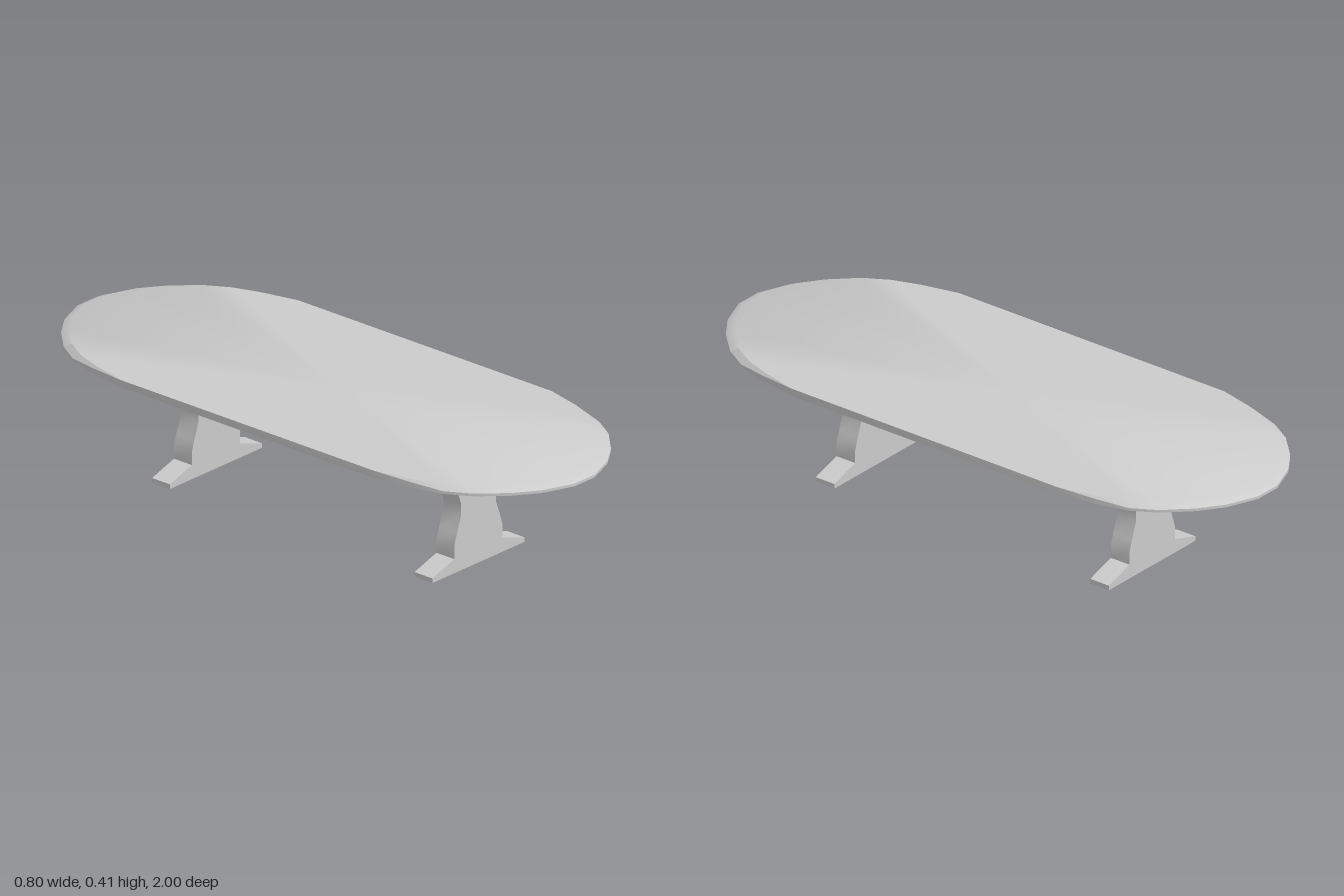
import * as THREE from 'three';
import { toCreasedNormals } from 'three/addons/utils/BufferGeometryUtils.js';

const BASE = 0.388, RIM = 0.397, TOP = 0.412;

// One quarter of the tabletop outline: x, z, softening of the upper edge (0..1)
const QUARTER = [
  [0.4, 0.51, 0], [0.377, 0.64, 0.5], [0.35, 0.745, 1], [0.303, 0.825, 1],
  [0.225, 0.905, 1], [0.148, 0.96, 1], [0.045, 1, 1],
];

// Half of the trestle silhouette, from the floor up
const TRESTLE = [
  [0.207, 0], [0.207, 0.015], [0.108, 0.046], [0.108, 0.09], [0.097, 0.125],
  [0.078, 0.178], [0.078, 0.218], [0.097, 0.27], [0.108, 0.306],
  [0.108, 0.352], [0.196, 0.381], [0.196, BASE],
];

function mirrored(points) {
  return [...points, ...[...points].reverse().map(([x, ...rest]) => [-x, ...rest])];
}

// Stacked rings with equal point counts, skinned from bottom to top
function tabletopGeometry() {
  const half = mirrored(QUARTER);
  const outline = [...half, ...half.map(([x, z, s]) => [-x, -z, s])];
  const rings = [
    outline.map(() => [0, BASE, 0]),
    outline.map(([x, z]) => [x, BASE, z]),
    outline.map(([x, z, s]) => [x, TOP - s * (TOP - RIM), z]),
    outline.map(([x, z, s]) => [x * (1 - 0.03 * s), TOP, z * (1 - 0.03 * s)]),
    outline.map(() => [0, TOP, 0]),
  ].map((ring) => ring.map((p) => new THREE.Vector3(...p)));

  const positions = [];
  const addTriangle = (a, b, c) => {
    if (a.equals(b) || b.equals(c) || c.equals(a)) return;
    for (const p of [a, b, c]) positions.push(p.x, p.y, p.z);
  };
  for (let r = 0; r < rings.length - 1; r++) {
    for (let i = 0; i < outline.length; i++) {
      const j = (i + 1) % outline.length;
      const low = rings[r], high = rings[r + 1];
      addTriangle(low[i], high[i], high[j]);
      addTriangle(low[i], high[j], low[j]);
    }
  }
  const geometry = new THREE.BufferGeometry();
  geometry.setAttribute('position', new THREE.Float32BufferAttribute(positions, 3));
  return toCreasedNormals(geometry, 0.6);
}

// Flat plank cut to the waisted outline with spreading foot and head
function trestleGeometry(depth) {
  const shape = new THREE.Shape(mirrored(TRESTLE).map(([x, y]) => new THREE.Vector2(x, y)));
  const geometry = new THREE.ExtrudeGeometry(shape, { depth, bevelEnabled: false });
  geometry.translate(0, 0, -depth / 2);
  return toCreasedNormals(geometry, 0.6);
}

export function createModel() {
  const model = new THREE.Group();
  model.name = 'table';
  const material = new THREE.MeshStandardMaterial({ color: 0xcccccc });

  const tabletop = new THREE.Mesh(tabletopGeometry(), material);
  tabletop.name = 'tabletop';
  model.add(tabletop);

  const legGeometry = trestleGeometry(0.072);
  for (const [name, z] of [['frontTrestle', 0.537], ['backTrestle', -0.519]]) {
    const trestle = new THREE.Mesh(legGeometry, material);
    trestle.name = name;
    trestle.position.z = z;
    model.add(trestle);
  }
  return model;
}
